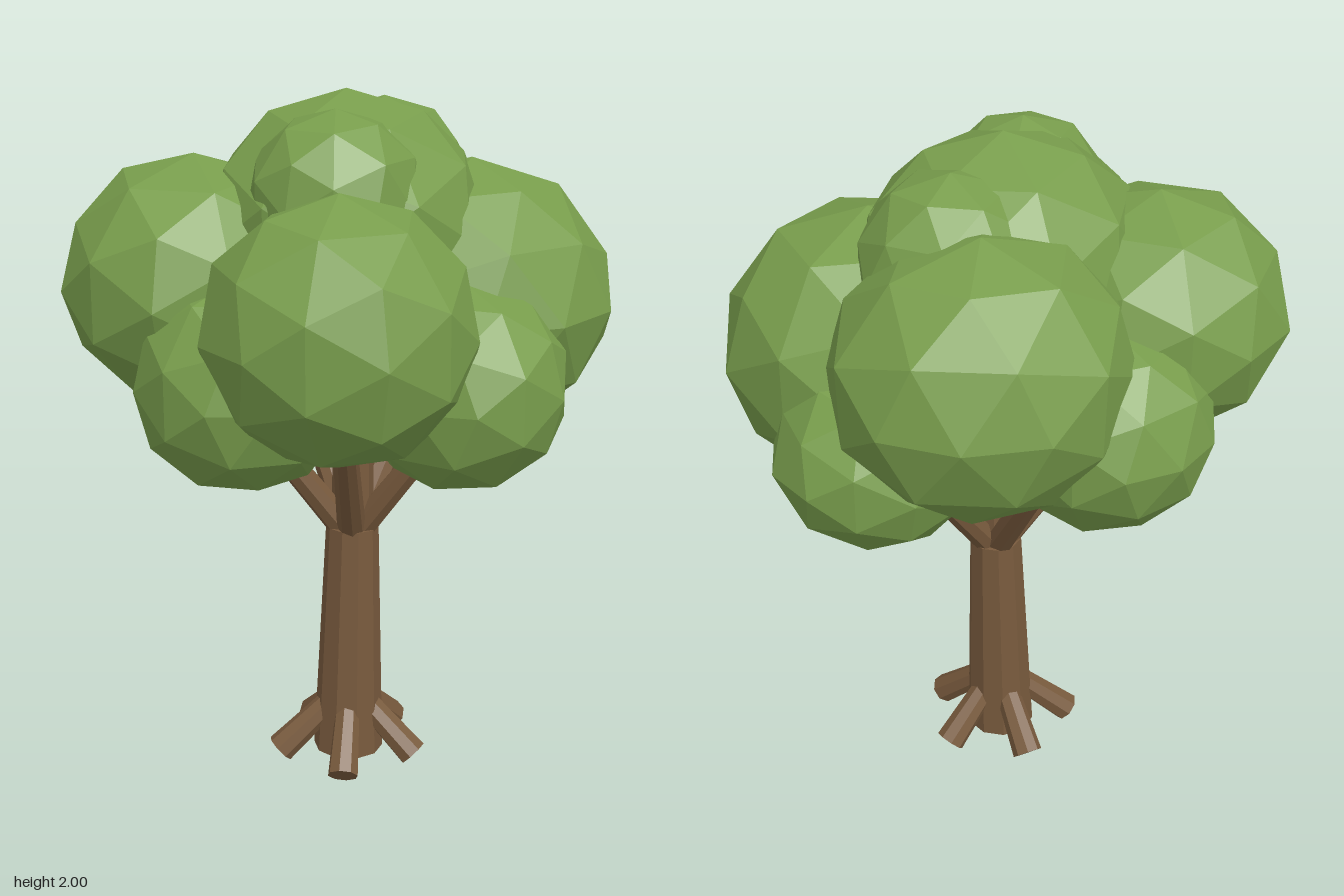
import * as THREE from 'three';

const leafMat = new THREE.MeshStandardMaterial({ color: 0x789d4c, flatShading: true });
leafMat.name = 'leafGreen';
const barkMat = new THREE.MeshStandardMaterial({ color: 0x785a3d, flatShading: true });
barkMat.name = 'barkBrown';

// Tapered limb between two points
function limb(name, from, to, rFrom, rTo, sides = 8) {
  const a = new THREE.Vector3(...from), b = new THREE.Vector3(...to);
  const dir = b.clone().sub(a);
  const mesh = new THREE.Mesh(new THREE.CylinderGeometry(rTo, rFrom, dir.length(), sides), barkMat);
  mesh.name = name;
  mesh.position.copy(a).add(b).multiplyScalar(0.5);
  mesh.quaternion.setFromUnitVectors(new THREE.Vector3(0, 1, 0), dir.normalize());
  return mesh;
}

// Faceted ball with slightly uneven corners; shared corners move together
function leafBall(name, [x, y, z, rx, ry, rz], seed) {
  const geo = new THREE.IcosahedronGeometry(1, 1);
  const p = geo.attributes.position, v = new THREE.Vector3();
  for (let i = 0; i < p.count; i++) {
    v.fromBufferAttribute(p, i);
    const k = Math.sin(v.x * 5.1 + seed) + Math.sin(v.y * 6.3 + seed * 2.1) + Math.sin(v.z * 5.7 + seed * 3.7);
    v.multiplyScalar(1.015 + 0.008 * k);
    p.setXYZ(i, v.x, v.y, v.z);
  }
  geo.rotateY(seed * 1.3);
  geo.scale(rx, ry, rz);
  geo.computeVertexNormals();
  const mesh = new THREE.Mesh(geo, leafMat);
  mesh.name = name;
  mesh.position.set(x, y, z);
  return mesh;
}

export function createModel() {
  const tree = new THREE.Group();
  tree.name = 'tree';

  // Trunk and its central leader
  tree.add(limb('trunk', [-0.02, 0.025, 0], [0, 0.74, 0], 0.104, 0.077, 10));
  tree.add(limb('leader', [0, 0.7, 0], [0.01, 1.4, 0], 0.064, 0.05));

  // Five roots and five branches, evenly fanned
  for (let i = 0; i < 5; i++) {
    const a = (i * Math.PI * 2) / 5, c = Math.cos(a), s = Math.sin(a);
    tree.add(limb('root', [c * 0.045 - 0.015, 0.185, s * 0.045], [c * 0.211 - 0.02, 0.034, s * 0.211], 0.036, 0.045));
    tree.add(limb('branch', [c * 0.03, 0.74, s * 0.03], [c * 0.37, 1.2, s * 0.37], 0.042, 0.031));
  }

  // Crown: centre x, y, z and radii
  const crown = new THREE.Group();
  crown.name = 'crown';
  const balls = [
    ['frontLeftLeaves', [0.255, 1.41, 0.215, 0.41, 0.385, 0.4]],
    ['frontRightLeaves', [-0.365, 1.44, 0.265, 0.36, 0.35, 0.36]],
    ['backLeftLeaves', [0.26, 1.505, -0.24, 0.405, 0.37, 0.385]],
    ['backRightLeaves', [-0.335, 1.49, -0.27, 0.37, 0.34, 0.365]],
    ['lowFrontLeaves', [-0.035, 1.255, 0.4, 0.285, 0.285, 0.3]],
    ['lowBackLeaves', [-0.03, 1.31, -0.4, 0.29, 0.28, 0.29]],
    ['lowLeftLeaves', [0.445, 1.25, -0.04, 0.28, 0.25, 0.275]],
    ['lowRightLeaves', [-0.44, 1.275, 0, 0.29, 0.29, 0.29]],
    ['topLeaves', [-0.025, 1.625, 0, 0.41, 0.365, 0.375]],
    ['topLeftLeaves', [0.185, 1.71, -0.04, 0.25, 0.245, 0.245]],
    ['topRightLeaves', [-0.185, 1.725, 0.1, 0.245, 0.245, 0.23]],
  ];
  balls.forEach(([name, dims], i) => crown.add(leafBall(name, dims, i + 1)));
  tree.add(crown);
  return tree;
}
